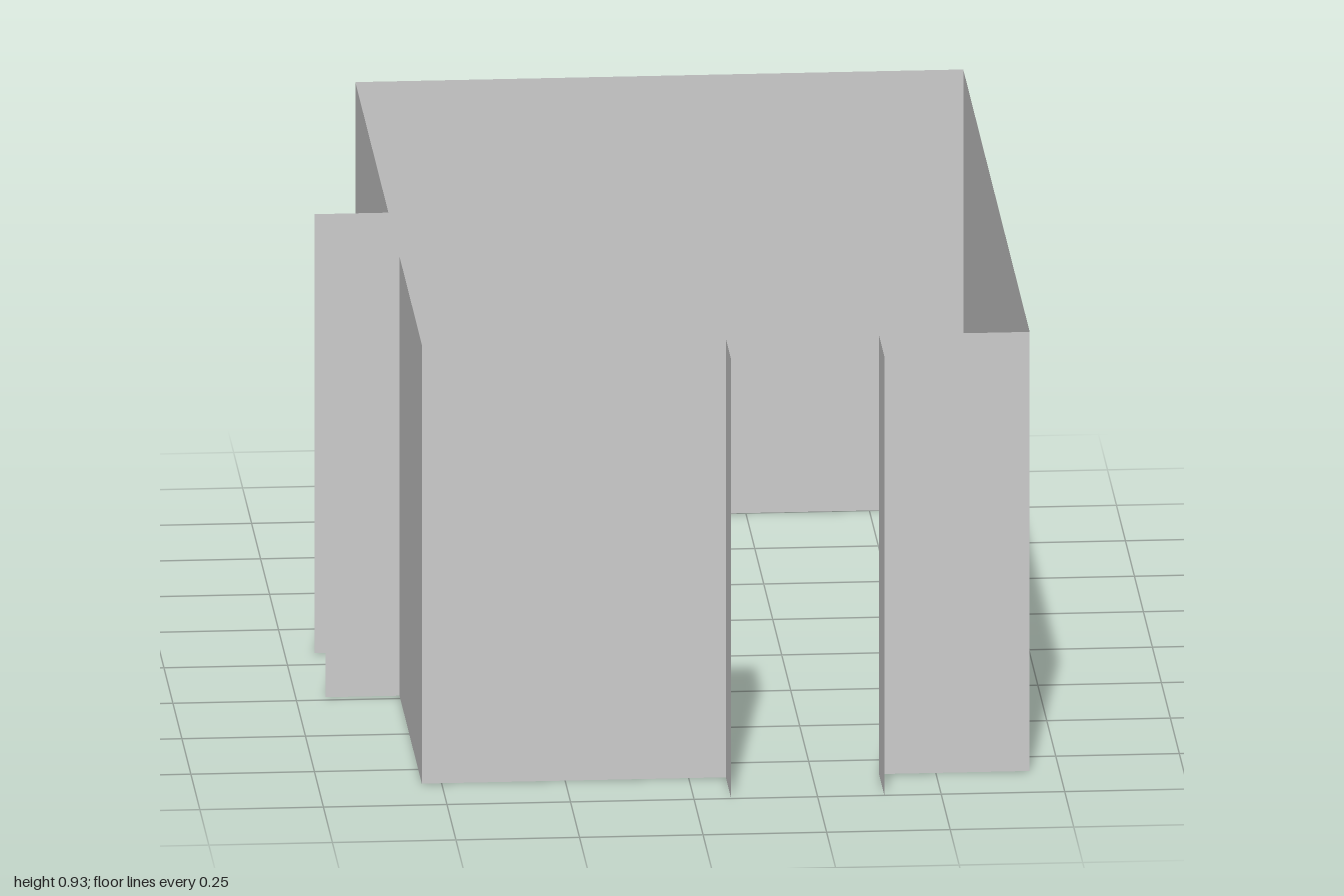
import * as THREE from 'three';

const HEIGHT = 0.925;
const material = new THREE.MeshStandardMaterial({ color: 0xcccccc, flatShading: true, side: THREE.DoubleSide });

// One thin upright wall panel between two plan points [x, z]
function wall(name, [x1, z1], [x2, z2]) {
  const panel = new THREE.Mesh(new THREE.PlaneGeometry(Math.hypot(x2 - x1, z2 - z1), HEIGHT), material);
  panel.name = name;
  panel.position.set((x1 + x2) / 2, HEIGHT / 2, (z1 + z2) / 2);
  panel.rotation.y = Math.atan2(z1 - z2, x2 - x1);
  return panel;
}

// A run of walls along a plan path, one name per segment
function wallRun(name, points, names) {
  const run = new THREE.Group();
  run.name = name;
  names.forEach((n, i) => run.add(wall(n, points[i], points[i + 1])));
  return run;
}

export function createModel() {
  const model = new THREE.Group();
  model.name = 'roomWalls';

  // Room outline, and the outer ends of the door reveals
  const left = -0.54, right = 0.69, back = -1, front = 0.85;
  const outerX = -0.69, outerZ = 1;
  // Door openings in the front and left walls
  const frontDoor = [0.075, 0.385], sideDoor = [-0.08, 0.23];

  // Long run: from the front opening round the right and back to the side opening
  model.add(wallRun('mainWalls', [
    [frontDoor[1], outerZ], [frontDoor[1], front], [right, front], [right, back],
    [left, back], [left, sideDoor[0]], [outerX, sideDoor[0]],
  ], ['frontRevealLeft', 'frontWallLeft', 'sideWallLeft', 'backWall', 'sideWallRear', 'sideRevealRear']));

  // Short run: the corner between the two openings
  model.add(wallRun('cornerWalls', [
    [frontDoor[0], outerZ], [frontDoor[0], front], [left, front],
    [left, sideDoor[1]], [outerX, sideDoor[1]],
  ], ['frontRevealRight', 'frontWallRight', 'sideWallFront', 'sideRevealFront']));

  return model;
}
